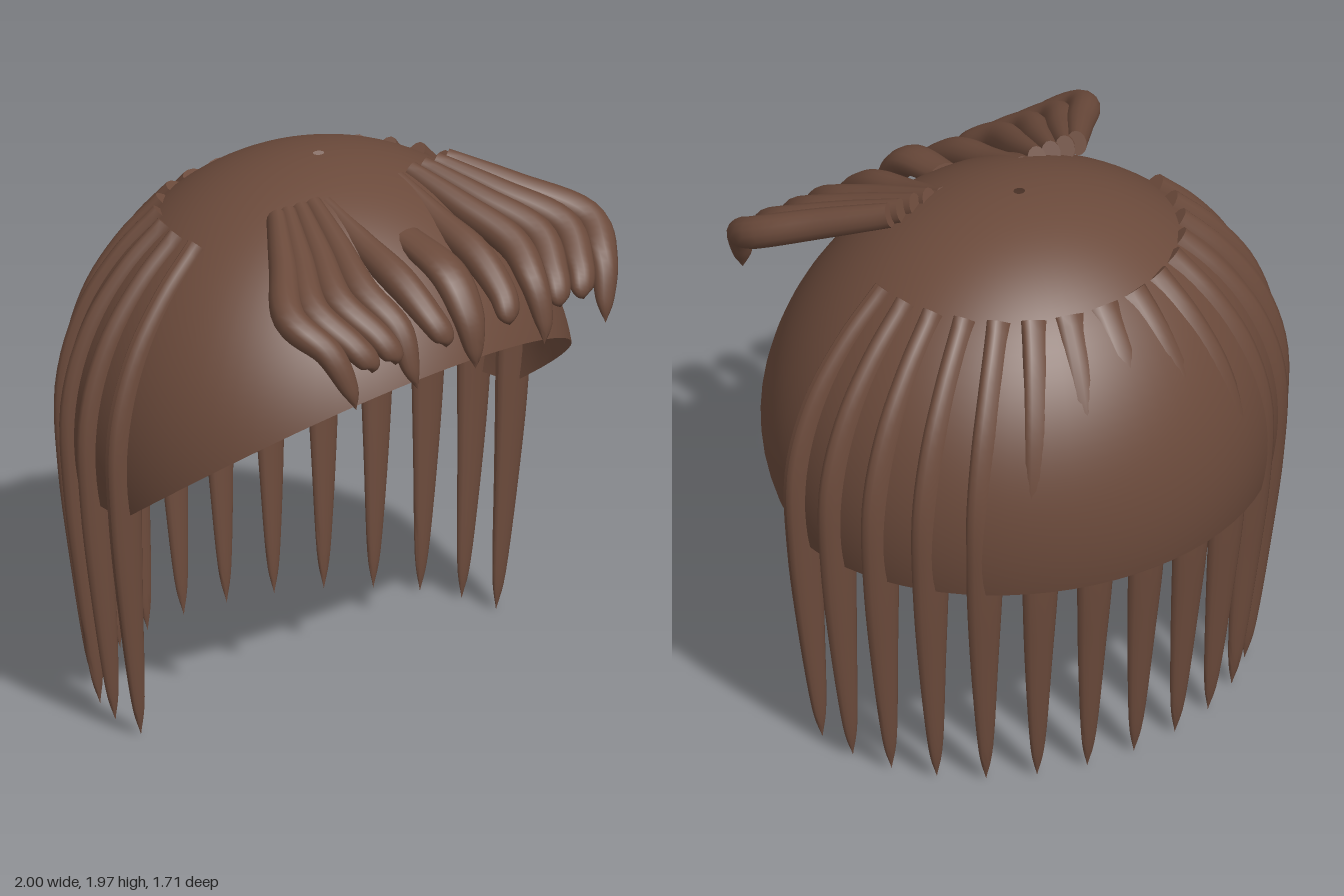
import * as THREE from 'three';
import { toCreasedNormals } from 'three/addons/utils/BufferGeometryUtils.js';
import { ParametricGeometry } from 'three/addons/geometries/ParametricGeometry.js';

const CENTER_Y = 1.04, RX = 0.94, RY = 0.93, RZ = 0.85;

// Tapered strand: each point is [x, y, z, half size along hint, half size across]
function strandGeometry(points, hint, steps, sides = 14) {
  const path = new THREE.CatmullRomCurve3(points.map(p => new THREE.Vector3(p[0], p[1], p[2])), false, 'catmullrom');
  const size = new THREE.CatmullRomCurve3(points.map(p => new THREE.Vector3(p[3], p[4], 0)), false, 'catmullrom');
  const pos = [], index = [];
  for (let i = 0; i <= steps; i++) {
    const t = i / steps, c = path.getPoint(t), s = size.getPoint(t), T = path.getTangent(t);
    const a = hint.clone().addScaledVector(T, -hint.dot(T)).normalize();
    const b = new THREE.Vector3().crossVectors(T, a);
    for (let j = 0; j < sides; j++) {
      const q = (j / sides) * Math.PI * 2;
      const p = c.clone()
        .addScaledVector(a, Math.cos(q) * Math.max(s.x, 0))
        .addScaledVector(b, Math.sin(q) * Math.max(s.y, 0));
      pos.push(p.x, p.y, p.z);
      if (i < steps) {
        const k = i * sides + j, n = i * sides + (j + 1) % sides;
        index.push(k, n, k + sides, n, n + sides, k + sides);
      }
    }
  }
  // Close the flat root end
  const root = pos.length / 3;
  pos.push(points[0][0], points[0][1], points[0][2]);
  for (let j = 0; j < sides; j++) index.push(root, (j + 1) % sides, j);
  const g = new THREE.BufferGeometry();
  g.setAttribute('position', new THREE.Float32BufferAttribute(pos, 3));
  g.setIndex(index);
  return toCreasedNormals(g, 0.9);
}

// Height of the lower rim: level at the back, rising towards the forehead
function rimHeight(phi) {
  let y = 0.84;
  for (let i = 0; i < 25; i++) {
    const z = RZ * Math.cos(phi) * Math.sqrt(1 - ((y - CENTER_Y) / RY) ** 2);
    const t = Math.max(z, 0) / 0.79;
    y = 0.84 + 0.59 * (0.9 * t + 0.1 * t * t);
  }
  return y;
}

export function createModel() {
  const group = new THREE.Group();
  const brown = new THREE.MeshStandardMaterial({ color: 0x6b4a3b, side: THREE.DoubleSide });
  brown.name = 'brown hair';
  const add = (geometry, name) => {
    const mesh = new THREE.Mesh(geometry, brown);
    mesh.name = name;
    group.add(mesh);
  };

  // Open ellipsoid cap with a tiny hole at the crown
  add(new ParametricGeometry((u, v, target) => {
    const phi = u * Math.PI * 2;
    const end = Math.acos((rimHeight(phi) - CENTER_Y) / RY);
    const th = 0.022 + v * (end - 0.022);
    target.set(-RX * Math.sin(th) * Math.sin(phi), CENTER_Y + RY * Math.cos(th), RZ * Math.sin(th) * Math.cos(phi));
  }, 72, 32), 'hairCap');

  // Long strands around the back: [x radius, z radius, y, half depth, half width]
  const profile = [
    [0.56, 0.505, 1.76, 0.037, 0.068],
    [0.72, 0.635, 1.6, 0.037, 0.07],
    [0.85, 0.735, 1.4, 0.037, 0.075],
    [0.92, 0.785, 1.15, 0.036, 0.079],
    [0.915, 0.775, 0.84, 0.033, 0.074],
    [0.89, 0.745, 0.5, 0.026, 0.056],
    [0.855, 0.715, 0.14, 0.016, 0.03],
    [0.84, 0.7, 0, 0, 0],
  ];
  const Z = new THREE.Vector3(0, 0, 1), X = new THREE.Vector3(1, 0, 0);
  for (let i = 0; i < 15; i++) {
    const a = (i / 14) * Math.PI;
    const pts = profile.map(([rx, rz, y, d, w]) => [rx * Math.cos(a), y, -rz * Math.sin(a), d, w]);
    add(strandGeometry(pts, Z, 35), 'backStrand');
  }

  // Centre fringe lock
  add(strandGeometry([
    [0, 1.79, 0.46, 0.06, 0.04],
    [-0.01, 1.73, 0.68, 0.075, 0.05],
    [-0.015, 1.61, 0.79, 0.066, 0.045],
    [-0.02, 1.49, 0.83, 0.038, 0.03],
    [-0.025, 1.42, 0.845, 0, 0],
  ], X, 24), 'centreFringeLock');

  // Side fringe locks: [root x, bend x, fall x, tip x, long tip]
  const locks = [
    [0.17, 0.18, 0.17, 0.15, false],
    [0.23, 0.35, 0.32, 0.3, true],
    [0.29, 0.47, 0.42, 0.39, false],
    [0.35, 0.59, 0.54, 0.5, false],
    [0.4, 0.7, 0.65, 0.59, true],
  ];
  for (const side of [-1, 1]) {
    locks.forEach(([x0, x1, x2, x3, long], i) => {
      const drop = i === 0 ? 0.02 : 0;
      const tip = long
        ? [[x3 + 0.015, 1.5, 0.825, 0.036, 0.028], [x3, 1.42, 0.845, 0, 0]]
        : [[x3, 1.565, 0.82, 0.042, 0.03], [x3, 1.53, 0.83, 0, 0]];
      const pts = [
        [x0, 1.9 - drop, 0.22, 0.034, 0.045],
        [(x0 + x1) / 2, 1.815 - drop, 0.42, 0.05, 0.055],
        [x1, 1.725, 0.62, 0.06, 0.058],
        [x2, 1.63, 0.765, 0.055, 0.045],
        ...tip,
      ];
      add(strandGeometry(pts.map(p => [side * p[0], ...p.slice(1)]), X, 30), side > 0 ? 'leftFringeLock' : 'rightFringeLock');
    });
  }
  return group;
}
